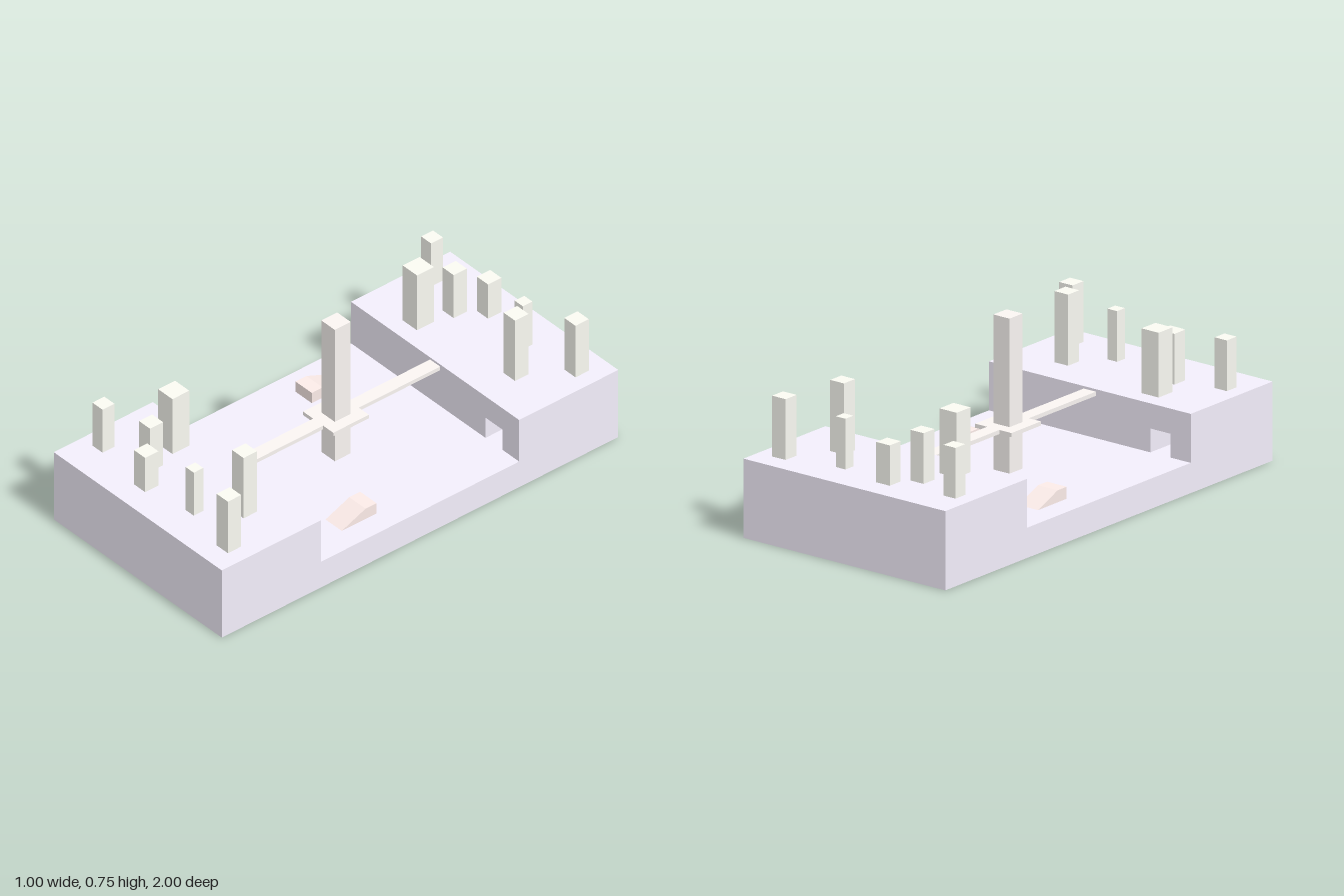
import * as THREE from 'three';
import { mergeGeometries } from 'three/addons/utils/BufferGeometryUtils.js';

const FLOOR = 0.123, DECK = 0.322, Q = Math.PI / 2;
const paint = (color) => new THREE.MeshStandardMaterial({ color, flatShading: true });
const groundMat = paint(0xf3eefb), columnMat = paint(0xfafaf2);
const towerMat = paint(0xfaf5f2), rampMat = paint(0xfbebe8);

function add(parent, name, geometry, material) {
  const mesh = new THREE.Mesh(geometry, material);
  mesh.name = name;
  parent.add(mesh);
}

const shape = (pts) => new THREE.Shape(pts.map(([x, y]) => new THREE.Vector2(x, y)));
const rect = (x0, y0, x1, y1) => [[x0, y0], [x1, y0], [x1, y1], [x0, y1]];

// flat outline, turned about x and y, then moved
function face(pts, rx, ry, x, y, z) {
  return new THREE.ShapeGeometry(shape(pts)).rotateX(rx).rotateY(ry).translate(x, y, z);
}

// box standing on height y0
function post(x, z, size, y0, y1) {
  return new THREE.BoxGeometry(size, y1 - y0, size).translate(x, (y0 + y1) / 2, z);
}

// half of the ground: raised deck with a niche, plus one long side
function groundHalf() {
  const n0 = 0.3, n1 = 0.4, top = 0.22, back = 0.7;
  return mergeGeometries([
    // inner wall with doorway
    face([[-0.5, FLOOR], [n0, FLOOR], [n0, top], [n1, top], [n1, FLOOR],
      [0.5, FLOOR], [0.5, DECK], [-0.5, DECK]], 0, 0, 0, 0, -0.5),
    // deck top, outer end, long side
    face(rect(-0.5, 0.5, 0.5, 1), -Q, 0, 0, DECK, 0),
    face(rect(-0.5, 0, 0.5, DECK), 0, Math.PI, 0, 0, -1),
    face([[-1, 0], [1, 0], [1, DECK], [0.5, DECK], [0.5, FLOOR],
      [-0.5, FLOOR], [-0.5, DECK], [-1, DECK]], 0, Q, 0.5, 0, 0),
    // niche interior
    face(rect(0.5, FLOOR, back, top), 0, Q, n0, 0, 0),
    face(rect(-back, FLOOR, -0.5, top), 0, -Q, n1, 0, 0),
    face(rect(n0, 0.5, n1, back), -Q, 0, 0, FLOOR, 0),
    face(rect(n0, -back, n1, -0.5), Q, 0, 0, top, 0),
    face(rect(n0, FLOOR, n1, top), 0, 0, 0, 0, -back),
  ]);
}

export function createModel() {
  const model = new THREE.Group();
  model.name = 'arena';

  // ground block with a sunken middle
  const half = groundHalf();
  add(model, 'ground', mergeGeometries([
    half,
    half.clone().rotateY(Math.PI),
    face(rect(-0.5, -0.5, 0.5, 0.5), -Q, 0, 0, FLOOR, 0),
    face(rect(-0.5, -1, 0.5, 1), Q, 0, 0, 0, 0),
  ]), groundMat);

  // central tower
  add(model, 'tower', post(0, 0, 0.08, FLOOR, 0.753), towerMat);

  // bridge with a square platform in the middle
  const w = 0.03, p = 0.09;
  const plan = shape([[-w, -0.5], [w, -0.5], [w, -p], [p, -p], [p, p], [w, p],
    [w, 0.5], [-w, 0.5], [-w, p], [-p, p], [-p, -p], [-w, -p]]);
  add(model, 'bridge', new THREE.ExtrudeGeometry(plan, { depth: 0.017, bevelEnabled: false })
    .rotateX(-Q).translate(0, 0.295, 0), towerMat);

  // two ramps, one turned half a circle
  const profile = shape([[0.135, FLOOR], [0.31, FLOOR], [0.19, 0.172], [0.135, 0.172]]);
  const ramp = new THREE.ExtrudeGeometry(profile, { depth: 0.097, bevelEnabled: false })
    .rotateY(-Q).translate(0.4, 0, 0);
  add(model, 'leftRamp', ramp, rampMat);
  add(model, 'rightRamp', ramp.clone().rotateY(Math.PI), rampMat);

  // columns on both decks: x, z, width, top
  const columns = [
    [-0.406, 0.829, 0.06, 0.528], [-0.197, 0.766, 0.066, 0.528], [-0.109, 0.865, 0.067, 0.486],
    [0.137, 0.83, 0.048, 0.528], [0.397, 0.877, 0.067, 0.569], [0.264, 0.685, 0.068, 0.611],
    [-0.238, 0.617, 0.085, 0.585],
  ];
  for (const side of [1, -1]) {
    const group = new THREE.Group();
    group.name = side > 0 ? 'frontColumns' : 'backColumns';
    for (const [x, z, size, top] of columns) {
      add(group, 'column', post(x, z * side, size, DECK, top), columnMat);
    }
    model.add(group);
  }
  return model;
}
